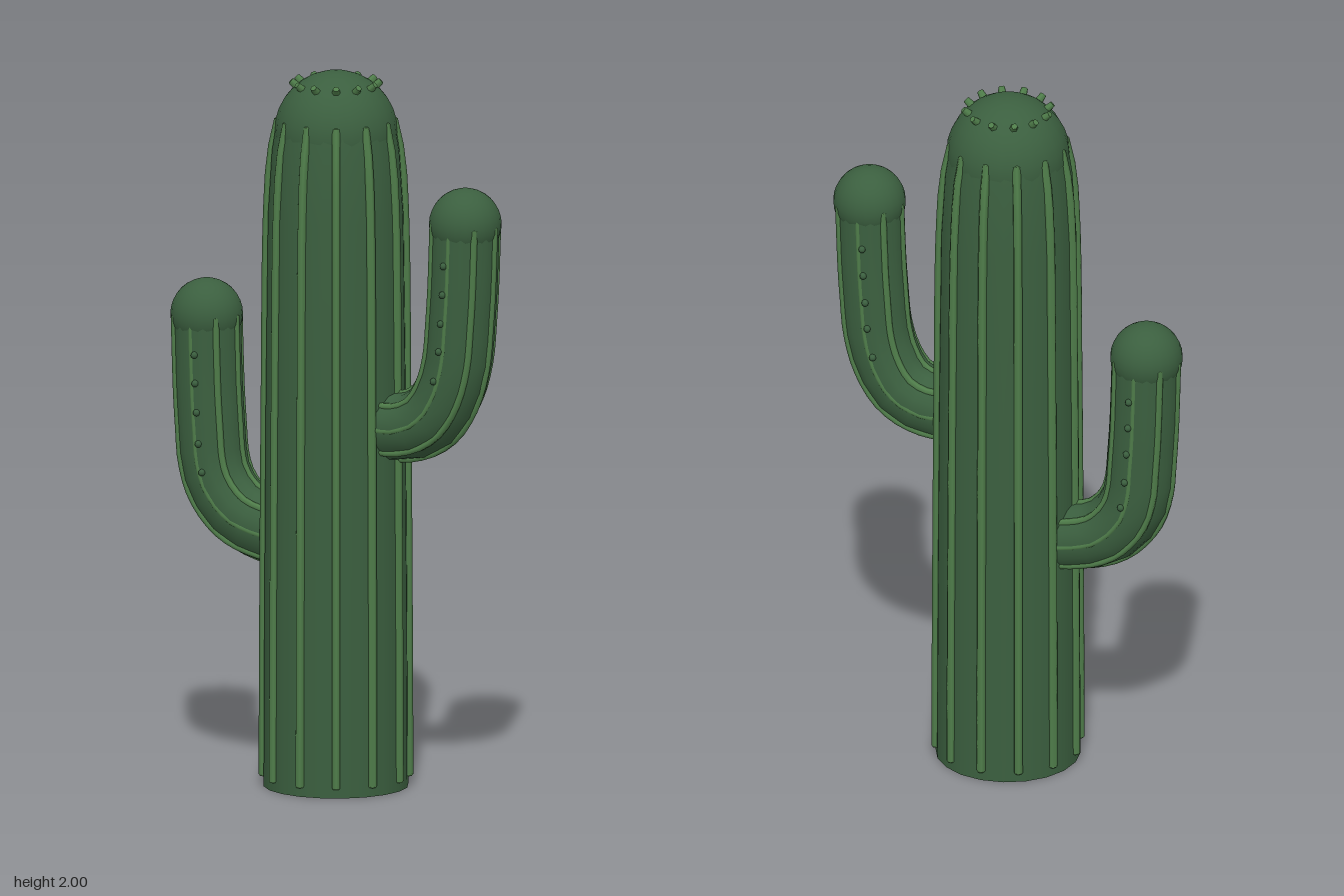
import * as THREE from 'three';

const flesh = new THREE.MeshStandardMaterial({ color: 0x3b5f3f });
flesh.name = 'dark green flesh';
const ribGreen = new THREE.MeshStandardMaterial({ color: 0x4f7d4a });
ribGreen.name = 'light green rib';

const V = (x, y, z = 0) => new THREE.Vector3(x, y, z);

function add(parent, name, geometry, material, position) {
  const mesh = new THREE.Mesh(geometry, material);
  mesh.name = name;
  if (position) mesh.position.copy(position);
  parent.add(mesh);
  return mesh;
}

// A slim six-sided tube with closed, rounded ends
function addRib(parent, name, points, radius) {
  const curve = new THREE.CatmullRomCurve3(points);
  const rib = new THREE.Group();
  rib.name = name;
  add(rib, 'ribBody', new THREE.TubeGeometry(curve, 24, radius, 6), ribGreen);
  for (const p of [points[0], points[points.length - 1]]) {
    const end = add(rib, 'ribEnd', new THREE.SphereGeometry(radius, 6, 4), ribGreen, p);
    end.scale.y = 0.5;
  }
  parent.add(rib);
}

function createTrunk() {
  const trunk = new THREE.Group();
  trunk.name = 'trunk';

  // Tapering body, with a flat base
  const profile = [[0.2, 0], [0.198, 0.5], [0.194, 1.1], [0.188, 1.6], [0.177, 1.78], [0.163, 1.87]]
    .map(([r, y]) => new THREE.Vector2(r, y));
  add(trunk, 'trunkBody', new THREE.LatheGeometry(profile, 20), flesh);
  const base = add(trunk, 'trunkBase', new THREE.CircleGeometry(0.2, 20), flesh);
  base.rotation.x = Math.PI / 2;
  base.rotation.z = Math.PI / 2;
  add(trunk, 'trunkDome', new THREE.SphereGeometry(0.17, 24, 16), flesh, V(0, 1.83, 0));

  // Twelve ribs and the ring of rib tips breaking through the dome
  const ribProfile = [[0.2, 0.03], [0.198, 0.5], [0.194, 1.1], [0.188, 1.6], [0.177, 1.77], [0.157, 1.865]];
  for (let i = 0; i < 12; i++) {
    const a = (i / 12) * Math.PI * 2;
    const at = (r, y) => V(r * Math.sin(a), y, r * Math.cos(a));
    addRib(trunk, 'trunkRib', ribProfile.map(([r, y]) => at(r, y)), 0.013);
    const tip = add(trunk, 'ribTip', new THREE.CylinderGeometry(0.009, 0.013, 0.03, 6), ribGreen, at(0.113, 1.962));
    tip.quaternion.setFromUnitVectors(V(0, 1, 0), at(0.75, 0.66).normalize());
  }
  return trunk;
}

function createArm(name, points, dotRange) {
  const arm = new THREE.Group();
  arm.name = name;
  const curve = new THREE.CatmullRomCurve3(points);
  const tip = points[points.length - 1];
  add(arm, 'armBody', new THREE.TubeGeometry(curve, 12, 0.095, 16), flesh);
  add(arm, 'armCap', new THREE.SphereGeometry(0.1, 24, 16), flesh, tip);

  // Point on the arm at t, offset sideways around its own axis
  const offset = (t, angle, r) => {
    const tan = curve.getTangent(t);
    const normal = V(tan.y, -tan.x);
    return curve.getPoint(t).addScaledVector(normal, r * Math.cos(angle)).add(V(0, 0, r * Math.sin(angle)));
  };

  // Eight ribs; the front and back ones lie almost flush
  for (let i = 0; i < 8; i++) {
    const angle = (i / 8) * Math.PI * 2;
    const flush = i === 2 || i === 6;
    const path = [];
    for (let k = 0; k <= 12; k++) path.push(offset(k / 12, angle, flush ? 0.087 : 0.092));
    addRib(arm, 'armRib', path, 0.01);
  }

  // Row of small bumps on the front and back
  for (const side of [1, -1]) {
    for (let k = 0; k < 5; k++) {
      const y = dotRange[0] + (dotRange[1] - dotRange[0]) * k / 4;
      let t = 0.4;
      while (t < 1 && curve.getPoint(t).y < y) t += 0.005;
      const p = offset(t, side * Math.PI / 2, 0.095);
      p.x -= Math.sign(p.x) * 0.012;
      add(arm, 'bump', new THREE.SphereGeometry(0.01, 8, 6), flesh, p);
    }
  }
  return arm;
}

export function createModel() {
  const cactus = new THREE.Group();
  cactus.name = 'cactus';
  cactus.add(createTrunk());
  cactus.add(createArm('leftArm', [
    V(0.13, 1.03), V(0.22, 1.025), V(0.31, 1.065), V(0.375, 1.18), V(0.4, 1.38), V(0.41, 1.61),
  ], [1.18, 1.5]));
  cactus.add(createArm('rightArm', [
    V(-0.13, 0.69), V(-0.21, 0.7), V(-0.3, 0.735), V(-0.375, 0.83), V(-0.4, 1.02), V(-0.41, 1.28),
  ], [0.85, 1.18]));
  return cactus;
}
